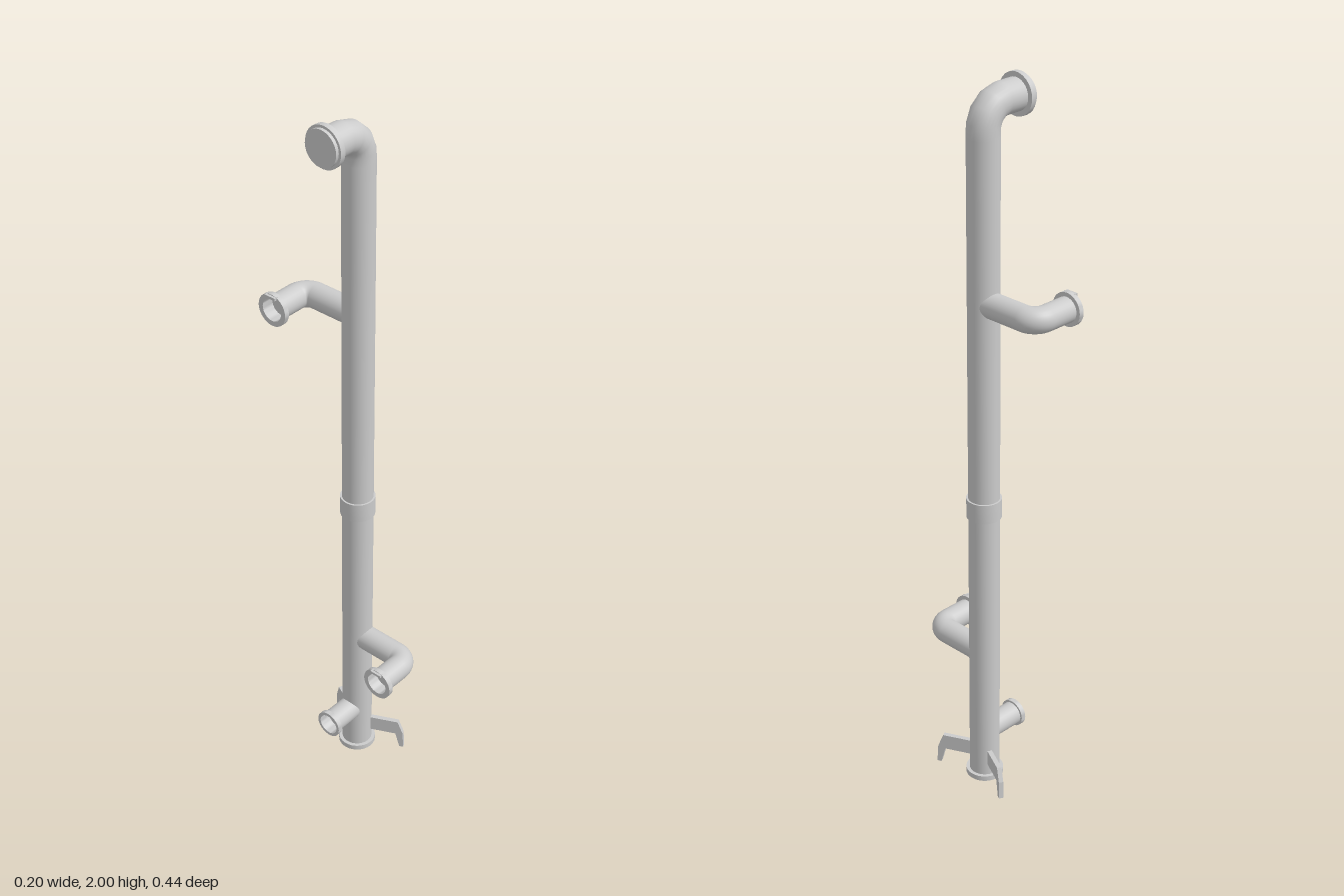
import * as THREE from 'three';
import { toCreasedNormals } from 'three/addons/utils/BufferGeometryUtils.js';

const material = new THREE.MeshStandardMaterial({ color: 0xcccccc });
const doubleSided = new THREE.MeshStandardMaterial({ color: 0xcccccc, side: THREE.DoubleSide });
const V = (x, y, z) => new THREE.Vector3(x, y, z);
const AXIS_X = 0.031;
const SIDES = 28;

function add(parent, name, geometry, mat = material) {
  const mesh = new THREE.Mesh(geometry, mat);
  mesh.name = name;
  parent.add(mesh);
  return mesh;
}

// Straight run, quarter bend of the given radius at the corner, straight run
function bentPipe(start, corner, end, bend, radius) {
  const a = corner.clone().add(start.clone().sub(corner).setLength(bend));
  const b = corner.clone().add(end.clone().sub(corner).setLength(bend));
  const path = new THREE.CurvePath();
  path.add(new THREE.LineCurve3(start, a));
  path.add(new THREE.CubicBezierCurve3(
    a, a.clone().lerp(corner, 0.5523), b.clone().lerp(corner, 0.5523), b));
  path.add(new THREE.LineCurve3(b, end));
  return new THREE.TubeGeometry(path, 72, radius, SIDES);
}

// Lathe profile [radius, height] with crisp edges
function turned(profile) {
  const points = profile.map(([r, h]) => new THREE.Vector2(r, h));
  return toCreasedNormals(new THREE.LatheGeometry(points, SIDES), 0.6);
}

// Open socket facing -x, with a recessed bore and a small tab on the upper rim
function socket(parent, name, y, z, outer, bore, tab) {
  const group = new THREE.Group();
  group.name = name;
  group.position.set(-0.092, y, z);
  const ring = add(group, 'socketRing', turned([
    [0, -0.035], [bore, -0.035], [bore, 0], [outer, 0], [outer, -0.014], [bore, -0.014],
  ]), doubleSided);
  ring.rotation.z = Math.PI / 2;
  if (tab) {
    const lug = add(group, 'socketTab', new THREE.BoxGeometry(0.012, 0.007, 0.034));
    lug.position.set(-0.001, outer - 0.006, 0);
  }
  parent.add(group);
}

export function createModel() {
  const model = new THREE.Group();
  model.name = 'standpipe';

  // Riser with its top elbow
  add(model, 'riserPipe', bentPipe(
    V(AXIS_X, 0.005, 0), V(AXIS_X, 1.945, 0), V(-0.085, 1.945, 0), 0.062, 0.042));

  // Base flange and joint collar
  add(model, 'baseFlange', turned([
    [0, 0], [0.052, 0], [0.052, 0.015], [0.04, 0.015],
  ])).position.x = AXIS_X;
  add(model, 'jointCollar', turned([
    [0.04, 0.83], [0.047, 0.83], [0.047, 0.885], [0.04, 0.885],
  ])).position.x = AXIS_X;

  // Closed cap on the elbow outlet
  const cap = add(model, 'outletCap', turned([
    [0.04, -0.015], [0.055, -0.015], [0.055, 0], [0.048, 0], [0.048, 0.009], [0, 0.009],
  ]));
  cap.position.set(-0.093, 1.945, 0);
  cap.rotation.z = Math.PI / 2;

  // Side branches, one to the back and one to the front
  for (const [side, y, label] of [[-1, 1.44, 'back'], [1, 0.403, 'front']]) {
    const z = side * 0.177;
    add(model, label + 'Branch', bentPipe(
      V(0.033, y, 0), V(0.033, y, z), V(-0.085, y, z), 0.037, 0.034), doubleSided);
    socket(model, label + 'BranchSocket', y, z, 0.045, 0.031, true);
  }

  // Short drain stub near the base
  const stub = add(model, 'drainStub',
    new THREE.CylinderGeometry(0.033, 0.033, 0.115, SIDES, 1, true), doubleSided);
  stub.rotation.z = Math.PI / 2;
  stub.position.set(-0.0275, 0.14, 0);
  socket(model, 'drainSocket', 0.14, 0, 0.039, 0.03, false);

  // Two flat bracket legs splayed outward from the riser
  const outline = [[0.02, 0.095], [0.122, 0.095], [0.137, 0.055], [0.14, 0.003],
    [0.128, 0.003], [0.116, 0.05], [0.02, 0.05]];
  const shape = new THREE.Shape(outline.map(([r, y]) => new THREE.Vector2(r, y)));
  for (const side of [1, -1]) {
    const geometry = new THREE.ExtrudeGeometry(shape, { depth: 0.013, bevelEnabled: false });
    geometry.translate(0, 0, -0.0065);
    const leg = add(model, side > 0 ? 'frontLeg' : 'backLeg', geometry);
    leg.position.x = AXIS_X;
    leg.rotation.y = -side * THREE.MathUtils.degToRad(64);
  }

  return model;
}
